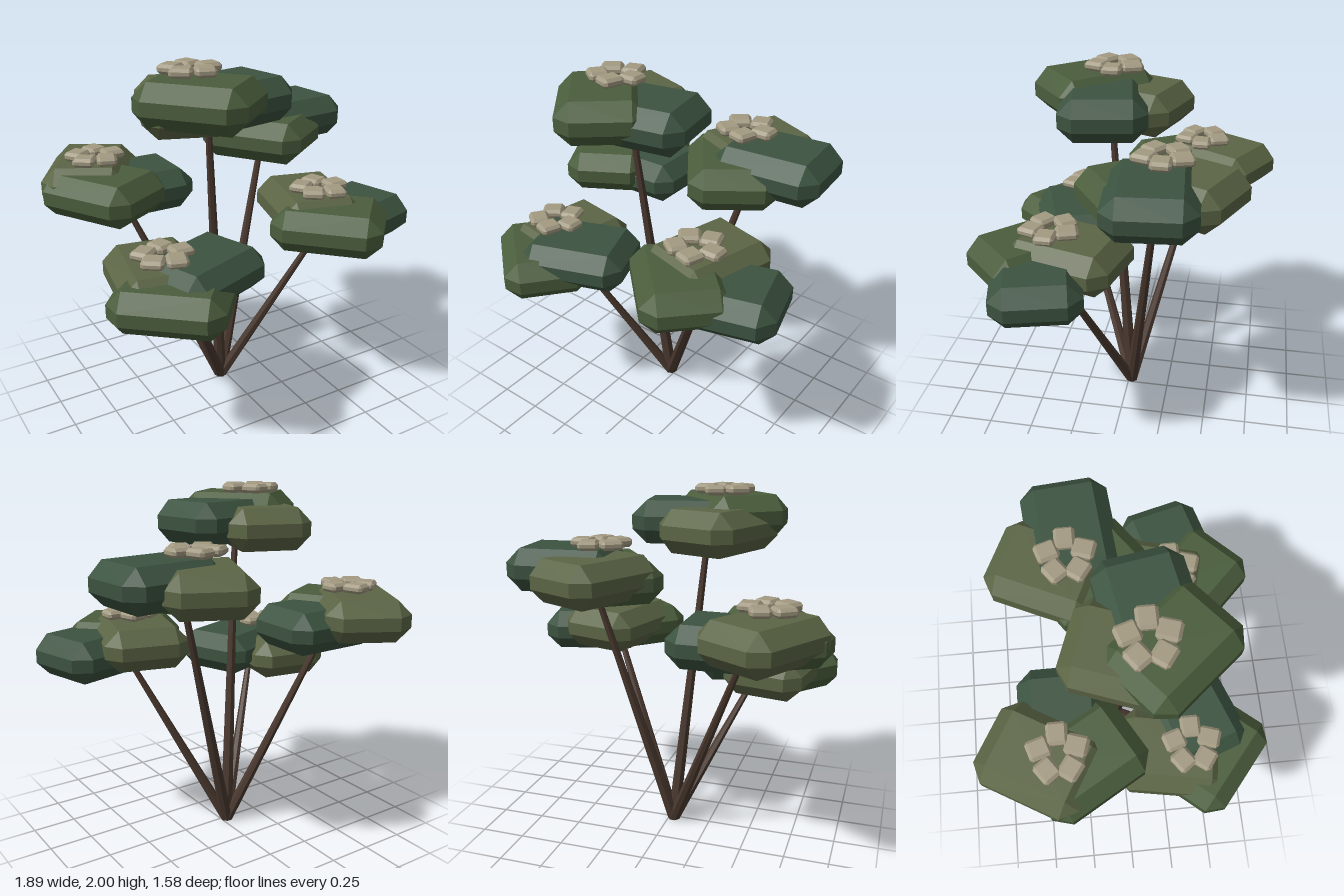
import * as THREE from 'three';
import { ConvexGeometry } from 'three/addons/geometries/ConvexGeometry.js';

const mat = (color) => new THREE.MeshStandardMaterial({ color, flatShading: true });
const materials = {
  green: mat(0x4a5d3c),
  teal: mat(0x3c5340),
  olive: mat(0x5b6545),
  petal: mat(0xa39a82),
  stem: mat(0x4a392f),
};

// Box with every edge and corner cut flat
function chamferedBox(w, h, d, r) {
  const points = [];
  for (const x of [-1, 1]) for (const y of [-1, 1]) for (const z of [-1, 1]) {
    const [a, b, c] = [w / 2, h / 2, d / 2];
    points.push(
      new THREE.Vector3(x * a, y * (b - r), z * (c - r)),
      new THREE.Vector3(x * (a - r), y * b, z * (c - r)),
      new THREE.Vector3(x * (a - r), y * (b - r), z * c),
    );
  }
  return new ConvexGeometry(points);
}

// Tapered stem leaning from the root to a point, with level ends
function leaningStem(root, top) {
  const geo = new THREE.CylinderGeometry(0.016, 0.037, top.y, 7);
  geo.translate(0, top.y / 2, 0);
  const p = geo.attributes.position;
  for (let i = 0; i < p.count; i++) {
    const t = p.getY(i) / top.y;
    p.setX(i, p.getX(i) + THREE.MathUtils.lerp(root.x, top.x, t));
    p.setZ(i, p.getZ(i) + THREE.MathUtils.lerp(root.z, top.z, t));
  }
  geo.computeVertexNormals();
  return geo;
}

const leafGeo = chamferedBox(0.6, 0.233, 0.47, 0.08);
const petalGeo = chamferedBox(0.12, 0.05, 0.11, 0.016);

// Offset of each leaf block from the blossom, and its turn in degrees
const leaves = {
  teal: { x: 0.208, z: 0.03, turn: 0 },
  green: { x: -0.01, z: 0.118, turn: 120 },
  olive: { x: 0.005, z: -0.1, turn: 240 },
};

// Blossom centre, cluster turn in degrees, leaf blocks from top to bottom
const clusters = [
  { at: [-0.637, 1.446, -0.355], turn: 0, order: ['olive', 'green', 'teal'] },
  { at: [0.31, 1.705, -0.233], turn: 5, order: ['teal', 'olive', 'green'] },
  { at: [-0.28, 1.975, 0.117], turn: 10, order: ['green', 'teal', 'olive'] },
  { at: [0.393, 1.291, 0.342], turn: 15, order: ['olive', 'green', 'teal'] },
  { at: [-0.578, 1.117, 0.352], turn: 20, order: ['teal', 'olive', 'green'] },
];

export function createModel() {
  const model = new THREE.Group();
  model.name = 'floweringBush';
  const root = new THREE.Vector3(-0.033, 0, -0.018);

  const add = (parent, name, geo, material) => {
    const mesh = new THREE.Mesh(geo, material);
    mesh.name = name;
    parent.add(mesh);
    return mesh;
  };

  for (const { at: [x, y, z], turn, order } of clusters) {
    // Stem up into the middle of the leaf blocks
    const top = new THREE.Vector3(x + 0.085, y - 0.16, z + 0.015);
    add(model, 'stem', leaningStem(root, top), materials.stem);

    const cluster = new THREE.Group();
    cluster.name = 'leafCluster';
    cluster.position.set(x, y, z);
    model.add(cluster);

    // Three overlapping leaf blocks, each a step lower
    order.forEach((color, i) => {
      const leaf = leaves[color];
      const mesh = add(cluster, color + 'Leaves', leafGeo, materials[color]);
      mesh.position.set(leaf.x, -0.144 - 0.031 * i, leaf.z);
      mesh.rotation.y = THREE.MathUtils.degToRad(leaf.turn + turn);
    });

    // Ring of five petals on top
    for (let i = 0; i < 5; i++) {
      const a = (i / 5) * Math.PI * 2;
      const petal = add(cluster, 'petal', petalGeo, materials.petal);
      petal.position.set(Math.cos(a) * 0.1, 0, Math.sin(a) * 0.1);
      petal.rotation.y = a;
    }
  }
  return model;
}
